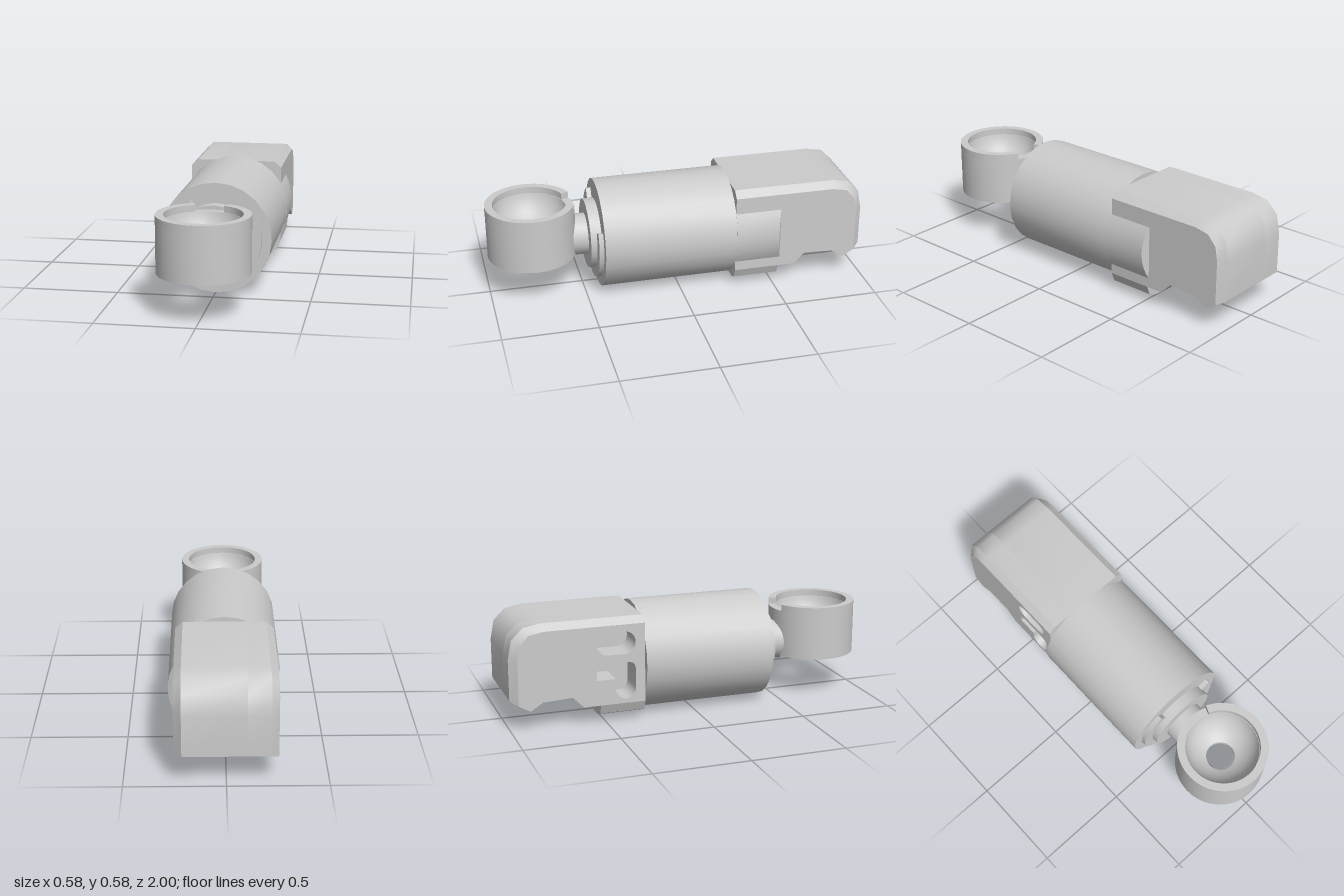
import * as THREE from 'three';
import { toCreasedNormals } from 'three/addons/utils/BufferGeometryUtils.js';

const AXIS_Y = 0.293; // height of the long axis

export function createModel() {
  const model = new THREE.Group();
  const material = new THREE.MeshStandardMaterial({ color: 0xcccccc });

  const add = (name, geometry, parent = model) => {
    const mesh = new THREE.Mesh(toCreasedNormals(geometry, 0.6), material);
    mesh.name = name;
    parent.add(mesh);
    return mesh;
  };
  const extrude = (shape, depth, curveSegments = 8) =>
    new THREE.ExtrudeGeometry(shape, { depth, bevelEnabled: false, curveSegments });
  const polygon = pts => new THREE.Shape(pts.map(p => new THREE.Vector2(...p)));

  // Cylinder lying along z, between two z positions
  const barrel = (name, radius, z0, z1) => {
    const g = new THREE.CylinderGeometry(radius, radius, z1 - z0, 24);
    g.rotateX(Math.PI / 2).translate(0, AXIS_Y, (z0 + z1) / 2);
    return add(name, g);
  };
  // Flat ring sector, open between its two end angles
  const ringSector = (inner, outer, start, end) => {
    const s = new THREE.Shape();
    s.absarc(0, 0, outer, start, end, false);
    s.absarc(0, 0, inner, end, start, true);
    return s;
  };

  // Main body and the stepped collar in front of it
  barrel('mainCylinder', 0.29, -0.29, 0.417);
  barrel('collar', 0.185, 0.41, 0.475);
  barrel('neck', 0.11, 0.41, 0.565);
  const tab = extrude(ringSector(0.17, 0.24, 2.14, 2 * Math.PI + 0.42), 0.03, 20);
  add('outerCollar', tab.translate(0, AXIS_Y, 0.412));

  // Socket: outer wall, spherical bowl, floor hole and a recess underneath
  const socket = new THREE.Group();
  socket.name = 'socket';
  socket.position.z = 0.765;
  model.add(socket);
  const profile = [[0.075, 0.3], [0.195, 0.3], [0.195, 0.215], [0.235, 0.215], [0.235, 0.47]];
  const a0 = Math.asin(0.035 / 0.195), a1 = Math.acos(0.075 / 0.195);
  for (let i = 0; i <= 10; i++) {
    const a = a0 + (a1 - a0) * i / 10;
    profile.push([0.195 * Math.cos(a), 0.505 - 0.195 * Math.sin(a)]);
  }
  profile.push([0.075, 0.3]);
  add('socketCup', new THREE.LatheGeometry(profile.map(p => new THREE.Vector2(...p)), 40), socket);

  // Top rim with a notch facing the neck
  const half = 0.38;
  const rim = extrude(ringSector(0.194, 0.235, Math.PI / 2 + half, Math.PI * 2.5 - half), 0.035, 36);
  add('socketRim', rim.rotateX(-Math.PI / 2).translate(0, 0.47, 0), socket);

  // Rear block outline: [back distance, height, chamfered distance, chamfered height]
  const outline = [
    [0.29, 0.1, 0.29, 0.1], [0.62, 0.1, 0.62, 0.1], [0.68, 0.16, 0.68, 0.16],
    [0.82, 0.16, 0.82, 0.16], [0.9, 0.11, 0.9, 0.11], [1, 0.165, 0.96, 0.143],
    [1, 0.38, 0.96, 0.38], [0.98, 0.48, 0.947, 0.455], [0.92, 0.54, 0.9, 0.507],
    [0.83, 0.557, 0.825, 0.522], [0.29, 0.557, 0.29, 0.522]
  ];
  // Pockets in the right side: a rounded slot and a hooked slot below it
  const slot = new THREE.Path();
  slot.absarc(0.49, 0.425, 0.06, -Math.PI / 2, Math.PI / 2, false);
  slot.absarc(0.4, 0.425, 0.06, Math.PI / 2, Math.PI * 1.5, false);
  slot.closePath();
  const hook = new THREE.Path();
  hook.moveTo(0.34, 0.27);
  hook.lineTo(0.34, 0.18);
  hook.absarc(0.395, 0.18, 0.055, Math.PI, Math.PI * 2, false);
  hook.lineTo(0.45, 0.235);
  hook.lineTo(0.55, 0.235);
  hook.lineTo(0.55, 0.28);
  hook.quadraticCurveTo(0.54, 0.32, 0.5, 0.32);
  hook.lineTo(0.38, 0.32);
  hook.quadraticCurveTo(0.34, 0.32, 0.34, 0.27);

  // One slice of the block from x0 to x1; chamferX marks the inset face
  const block = new THREE.Group();
  block.name = 'rearBlock';
  model.add(block);
  const slice = (name, x0, x1, pocketed, chamferX) => {
    const shape = polygon(outline.map(p => [p[0], p[1]]));
    if (pocketed) shape.holes.push(slot, hook);
    const g = extrude(shape, x1 - x0).translate(0, 0, x0);
    const pos = g.attributes.position;
    for (let i = 0; i < pos.count; i++) {
      if (chamferX === undefined || Math.abs(pos.getZ(i) - chamferX) > 1e-4) continue;
      const p = outline.find(q => Math.hypot(q[0] - pos.getX(i), q[1] - pos.getY(i)) < 1e-4);
      if (p) pos.setXY(i, p[2], p[3]);
    }
    add(name, g.rotateY(Math.PI / 2), block);
  };
  slice('rightChamfer', -0.253, -0.215, true, -0.253);
  slice('pocketLayer', -0.215, -0.1, true);
  slice('blockCore', -0.1, 0.215, false);
  slice('leftChamfer', 0.215, 0.253, false, 0.253);

  // Foot below the block, with sloped sides
  const foot = polygon([
    [-0.253, 0.1], [-0.232, 0.05], [-0.182, 0.03], [0.182, 0.03], [0.232, 0.05], [0.253, 0.1]
  ]);
  add('foot', extrude(foot, 0.24).translate(0, 0, -0.53));

  // Left cheek: the cylinder wall carried back along the block, slanted at its end
  const cheek = new THREE.Shape();
  cheek.absarc(0, 0, 0.29, -Math.PI / 6, Math.PI / 6, false);
  const cheekGeometry = extrude(cheek, 0.25, 4).translate(0, AXIS_Y, -0.54);
  const pos = cheekGeometry.attributes.position;
  for (let i = 0; i < pos.count; i++) {
    if (pos.getZ(i) < -0.5) pos.setZ(i, -0.54 + (pos.getX(i) - 0.25) * 0.5);
  }
  add('leftCheek', cheekGeometry);

  return model;
}
